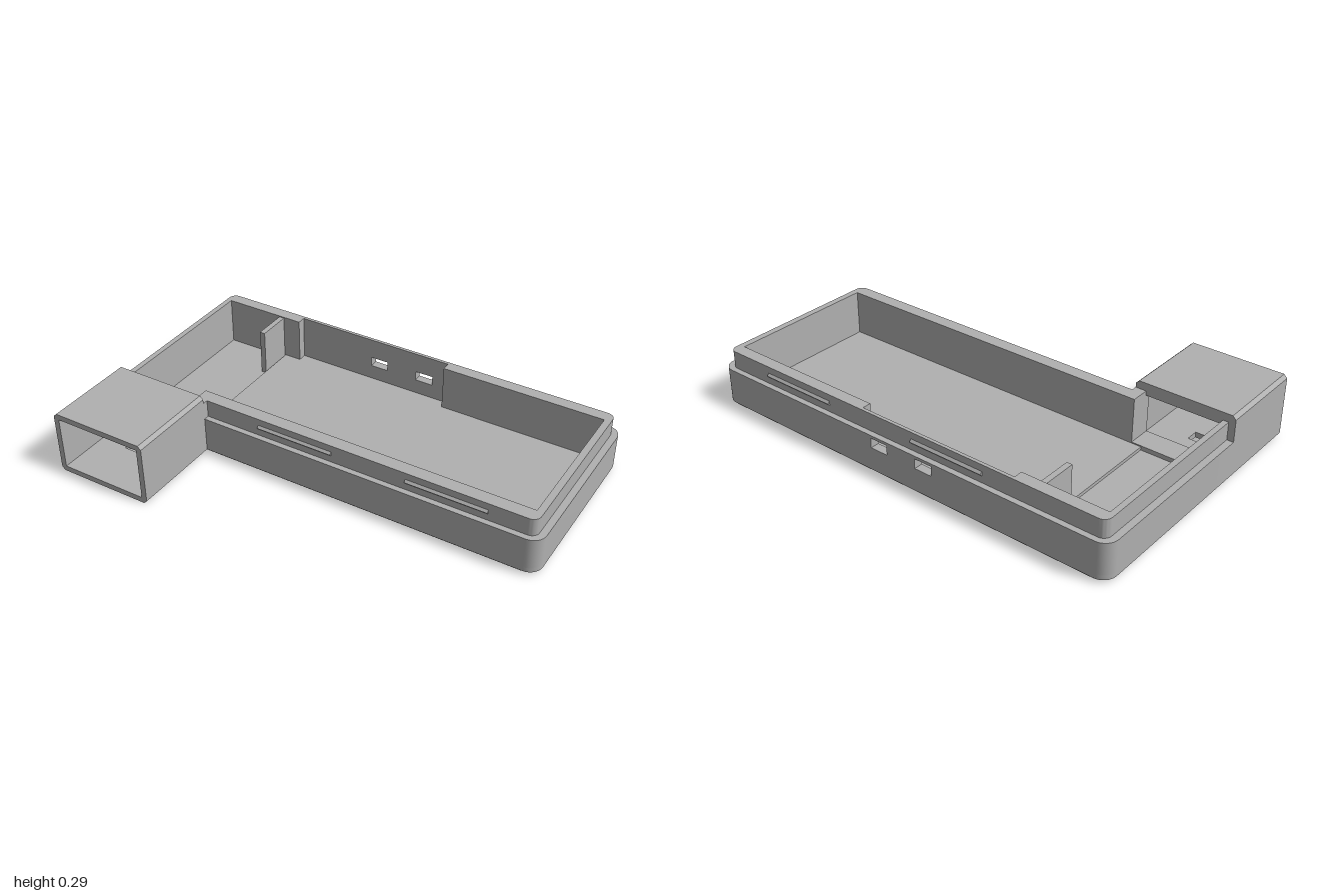
import * as THREE from 'three';
import { toCreasedNormals } from 'three/addons/utils/BufferGeometryUtils.js';

const grey = new THREE.MeshStandardMaterial({ color: 0xb0b0b0 });
grey.name = 'plain grey';

const shapeOf = (pts) => new THREE.Shape(pts.map(([a, b]) => new THREE.Vector2(a, b)));
const rect = (a0, b0, a1, b1) => [[a0, b0], [a1, b0], [a1, b1], [a0, b1]];

// Quarter-circle corner, as a list of points
function corner(cx, cy, r, start) {
  return Array.from({ length: 9 }, (_, i) => {
    const t = start + (i / 8) * Math.PI / 2;
    return [cx + r * Math.cos(t), cy + r * Math.sin(t)];
  });
}

function extrude(pts, depth, holes = []) {
  const shape = shapeOf(pts);
  shape.holes = holes.map(shapeOf);
  return new THREE.ExtrudeGeometry(shape, { depth, bevelEnabled: false });
}

export function createModel() {
  const model = new THREE.Group();
  const add = (name, geo) => {
    const mesh = new THREE.Mesh(toCreasedNormals(geo, 0.5), grey);
    mesh.name = name;
    model.add(mesh);
    return mesh;
  };
  // Plan outlines are [x, z] and rise from y0 to y1
  const rise = (name, pts, y0, y1) => add(name,
    extrude(pts.map(([x, z]) => [x, -z]), y1 - y0).rotateX(-Math.PI / 2).translate(0, y0, 0));
  // Elevation outlines are [x, y] and run from z0 to z1
  const run = (name, pts, z0, z1, holes) => add(name,
    extrude(pts, z1 - z0, holes).translate(0, 0, z0));
  const box = (name, x0, x1, y0, y1, z0, z1) => add(name,
    new THREE.BoxGeometry(x1 - x0, y1 - y0, z1 - z0)
      .translate((x0 + x1) / 2, (y0 + y1) / 2, (z0 + z1) / 2));

  const F = 0.215, B = -0.63, R = 0.06;
  const leftFront = corner(1 - R, F - R, R, 0).reverse();
  const leftBack = corner(1 - R, B + R, R, -Math.PI / 2);
  const rightBack = corner(-1 + R, B + R, R, Math.PI).reverse();

  // Base slab with a chamfered underside
  const base = [[-1, F], ...rightBack.slice().reverse(), ...leftBack, ...leftFront.slice().reverse()];
  rise('base', base, 0.015, 0.035);
  const foot = extrude(base.map(([x, z]) => [x, -z]), 0.015).rotateX(-Math.PI / 2);
  const p = foot.attributes.position, midZ = (F + B) / 2;
  for (let i = 0; i < p.count; i++) {
    if (p.getY(i) > 0.001) continue;
    p.setX(i, p.getX(i) * 0.985);
    p.setZ(i, midZ + (p.getZ(i) - midZ) * 0.965);
  }
  foot.computeVertexNormals();
  add('baseChamfer', foot);

  // Inner floor and the sill leading into the duct
  box('mainFloor', -0.64, 0.94, 0.035, 0.05, -0.55, 0.13);
  box('recessFloor', -0.56, 0.195, 0.035, 0.05, -0.59, -0.55);
  box('ductSill', -0.945, -0.595, 0.035, 0.055, 0.13, F);

  // Lower walls
  rise('lowerWallLeft', [[0.195, B], ...leftBack, ...leftFront.slice().reverse(), [-0.595, F],
    [-0.595, 0.13], [0.94, 0.13], [0.94, -0.55], [0.195, -0.55]], 0.035, 0.175);
  rise('lowerWallRight', [[-0.56, B], ...rightBack, [-1, F], [-0.945, F],
    [-0.945, -0.55], [-0.56, -0.55]], 0.035, 0.175);
  const ports = [0.08, -0.15].map((x) => rect(x - 0.042, 0.118, x + 0.042, 0.162));
  run('backPanelWithPorts', rect(-0.56, 0.035, 0.195, 0.175), B, -0.59, ports);

  // Stepped-in upper lip
  const r = 0.035, X = 0.97, lb = -0.605, lf = 0.19;
  rise('upperLip', [
    [-X, F], ...corner(-X + r, lb + r, r, Math.PI), ...corner(X - r, lb + r, r, -Math.PI / 2),
    ...corner(X - r, lf - r, r, 0), [-0.545, lf], [-0.545, F], [-0.595, F], [-0.595, 0.13],
    [0.94, 0.13], [0.94, -0.55], [0.195, -0.55], [0.195, -0.59], [-0.56, -0.59],
    [-0.56, -0.55], [-0.945, -0.55], [-0.945, F],
  ], 0.175, 0.255);

  // Snap ridges with a triangular section, on both long sides
  for (const [x0, x1, z, s] of [[-0.285, 0.07, lf, 1], [0.41, 0.77, lf, 1],
    [-0.42, -0.07, lb, -1], [0.37, 0.73, lb, -1]]) {
    const ridge = extrude([[-0.002, -0.012], [0.01, 0], [-0.002, 0.012]], x1 - x0)
      .rotateY(s * Math.PI / 2);
    // The section turns to face outward, so the run goes along x in either direction
    ridge.rotateY(Math.PI).translate(s > 0 ? x1 : x0, 0.215, z);
    add('snapRidge', ridge);
  }

  // Inner partition
  box('partition', -0.67, -0.645, 0.035, 0.25, -0.55, -0.39);

  // Duct: chamfered tube with a slot in its floor and a window into the case
  const L = -1, E = -0.545, T = 0.29, c = 0.015;
  const outer = [[L + c, 0], [E - c, 0], [E, c], [E, T - c], [E - c, T], [L + c, T], [L, T - c], [L, c]];
  const bore = rect(-0.975, 0.025, -0.57, 0.265);
  const s0 = -0.845, s1 = -0.735;
  run('ductRearPlate', outer, F, 0.24, [rect(-0.945, 0.055, -0.595, 0.235)]);
  run('ductInner', outer, 0.24, 0.34, [bore]);
  run('ductSlotted', [[s1, 0], ...outer.slice(1), outer[0], [s0, 0], [s0, 0.025],
    [-0.975, 0.025], [-0.975, 0.265], [-0.57, 0.265], [-0.57, 0.025], [s1, 0.025]], 0.34, 0.4);
  run('ductMouth', outer, 0.4, 0.63, [bore]);

  return model;
}
